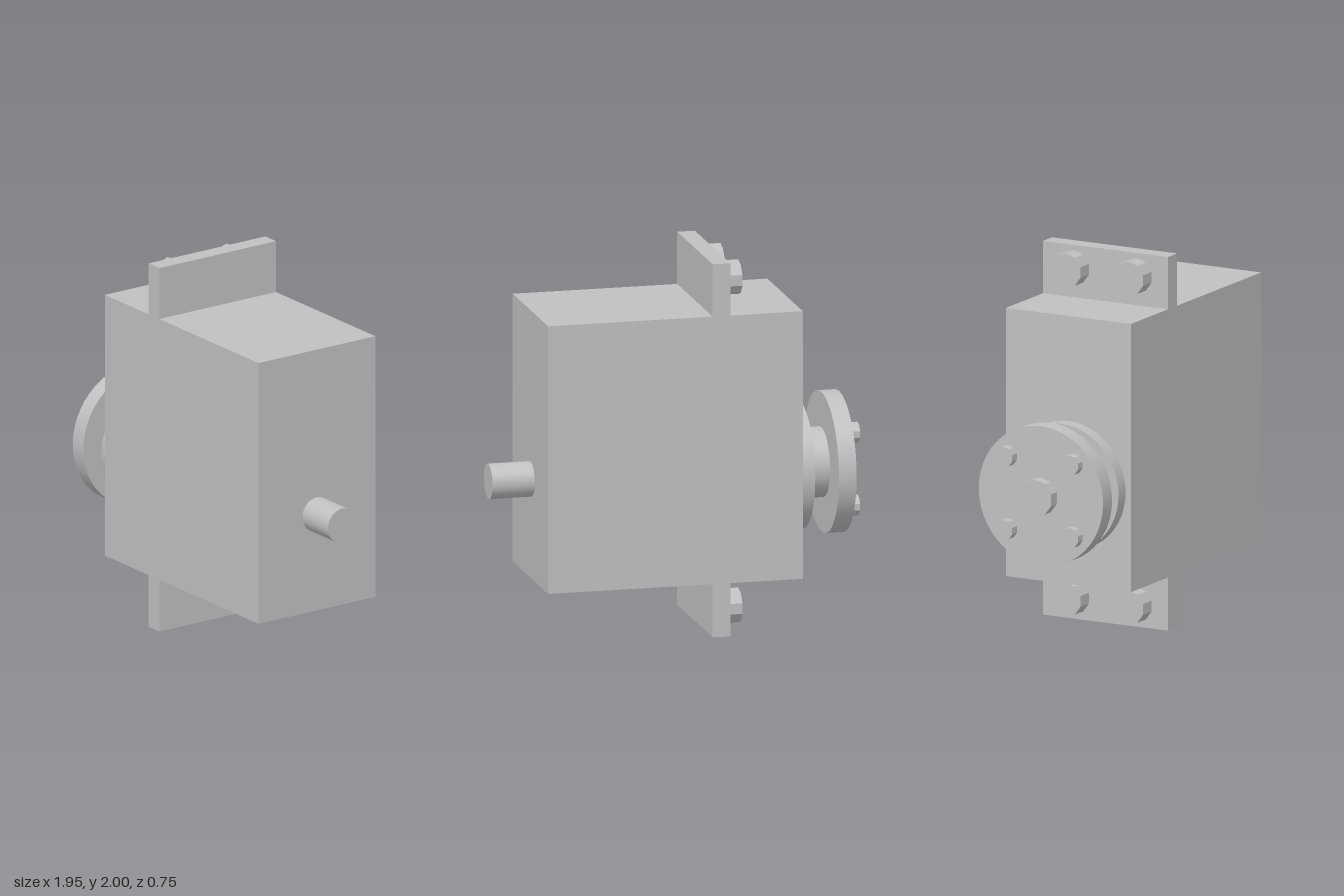
import * as THREE from 'three';

export function createModel() {
  const root = new THREE.Group();
  root.name = 'gearedActuator';
  const grey = new THREE.MeshStandardMaterial({ color: 0xc0c0c0 });
  grey.name = 'plainGrey';
  const greyFaceted = grey.clone();
  greyFaceted.name = 'plainGreyFaceted';
  greyFaceted.flatShading = true;

  const AXIS_Y = 0.815; // height of the shaft line

  function box(name, x0, x1, y0, y1, depth) {
    const mesh = new THREE.Mesh(new THREE.BoxGeometry(x1 - x0, y1 - y0, depth), grey);
    mesh.position.set((x0 + x1) / 2, (y0 + y1) / 2, 0);
    mesh.name = name;
    root.add(mesh);
  }

  // Cylinder lying along x, with a corner pointing straight up
  function rod(name, x0, x1, radius, y, z, sides, material) {
    const geo = new THREE.CylinderGeometry(radius, radius, x1 - x0, sides, 1, false, Math.PI / 2);
    geo.rotateZ(Math.PI / 2);
    const mesh = new THREE.Mesh(geo, material);
    mesh.position.set((x0 + x1) / 2, y, z);
    mesh.name = name;
    root.add(mesh);
  }

  // Housing and the mounting tabs above and below it
  box('housing', -0.625, 0.745, 0.285, 1.72, 0.75);
  box('upperMountingTab', -0.235, -0.14, 1.72, 2, 0.75);
  box('lowerMountingTab', -0.235, -0.14, 0, 0.285, 0.75);

  // Rear shaft
  rod('rearShaft', 0.745, 0.972, 0.093, AXIS_Y, 0, 32, grey);

  // Output hub: collar, neck and flange
  rod('hubCollar', -0.7, -0.625, 0.343, AXIS_Y, 0, 48, grey);
  rod('hubNeck', -0.82, -0.7, 0.185, AXIS_Y, 0, 48, grey);
  rod('hubFlange', -0.915, -0.82, 0.373, AXIS_Y, 0, 48, grey);
  rod('hubCentreBolt', -0.975, -0.915, 0.1, AXIS_Y, 0, 10, greyFaceted);

  // Small flange bolts and mounting bolts
  for (const sz of [-1, 1]) {
    for (const sy of [-1, 1]) {
      rod('hubBolt', -0.965, -0.915, 0.056, AXIS_Y + sy * 0.195, sz * 0.197, 10, greyFaceted);
      rod('mountingBolt', -0.325, -0.235, 0.0925, 1 + sy * 0.88, sz * 0.188, 10, greyFaceted);
    }
  }
  return root;
}
